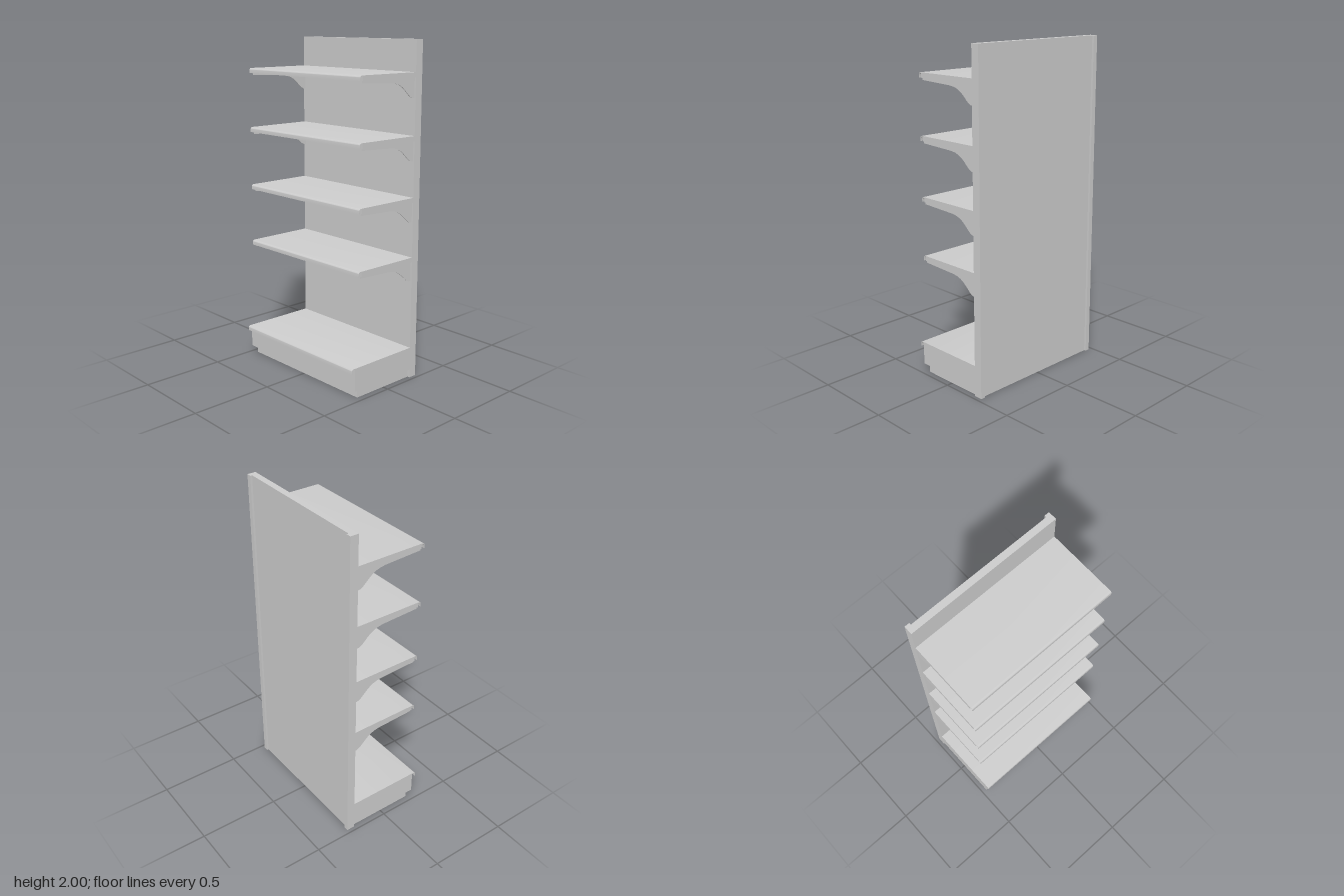
import * as THREE from 'three';
import { toCreasedNormals } from 'three/addons/utils/BufferGeometryUtils.js';

const HALF = 0.475;   // half width of the unit
const BACK = -0.215;  // front face of the back panel
const T = 0.004;      // sheet metal thickness
const mat = new THREE.MeshStandardMaterial({ color: 0xcccccc });

function add(parent, name, geometry) {
  const mesh = new THREE.Mesh(geometry, mat);
  mesh.name = name;
  parent.add(mesh);
  return mesh;
}

// Box given by its minimum and maximum corners
function box(parent, name, [x0, y0, z0], [x1, y1, z1]) {
  const g = new THREE.BoxGeometry(x1 - x0, y1 - y0, z1 - z0);
  g.translate((x0 + x1) / 2, (y0 + y1) / 2, (z0 + z1) / 2);
  return add(parent, name, g);
}

// Side profile (z, y) extruded across x, centred on the given x
function acrossX(shape, width, x = 0) {
  const g = new THREE.ExtrudeGeometry(shape, { depth: width, bevelEnabled: false, curveSegments: 8 });
  g.translate(0, 0, -width / 2);
  g.rotateY(-Math.PI / 2);
  g.translate(x, 0, 0);
  return toCreasedNormals(g, 0.6);
}

// Thin deck whose front edge rolls over into a hanging lip; top at y = 0
function deckShape(front) {
  const s = new THREE.Shape();
  s.moveTo(BACK, 0);
  s.lineTo(front - 0.016, 0);
  s.quadraticCurveTo(front, 0, front, -0.014);
  s.lineTo(front, -0.03);
  s.lineTo(front - T, -0.03);
  s.lineTo(front - T, -0.014);
  s.quadraticCurveTo(front - T, -T, front - 0.016, -T);
  s.lineTo(BACK, -T);
  s.closePath();
  return s;
}

// Cantilever bracket with a swept lower edge
function bracketShape() {
  const s = new THREE.Shape();
  s.moveTo(BACK, -T);
  s.lineTo(BACK, -0.145);
  s.lineTo(-0.195, -0.143);
  s.bezierCurveTo(-0.15, -0.125, -0.13, -0.058, -0.03, -0.053);
  s.lineTo(0.2, -0.043);
  s.lineTo(0.2, -T);
  s.closePath();
  return s;
}

function makeShelf(y) {
  const shelf = new THREE.Group();
  shelf.name = 'shelf';
  add(shelf, 'shelfDeck', acrossX(deckShape(0.22), 2 * HALF));
  box(shelf, 'shelfFrontSkirt', [-HALF, -0.03, 0.2 - T], [HALF, -T, 0.2]);
  for (const side of [-1, 1]) {
    const skirt = box(shelf, 'shelfSideSkirt', [-T / 2, -0.03, BACK], [T / 2, -T, 0.2]);
    skirt.position.x = side * (HALF - T / 2);
    add(shelf, 'shelfBracket', acrossX(bracketShape(), 0.005, side * 0.464));
  }
  shelf.position.y = y;
  return shelf;
}

// Three-sided wall of sheet metal, open at the back
function skirt(parent, name, half, y0, y1, front) {
  box(parent, name + 'Front', [-half, y0, front - T], [half, y1, front]);
  for (const side of [-1, 1]) {
    const wall = box(parent, name + 'Side', [-T / 2, y0, BACK], [T / 2, y1, front - T]);
    wall.position.x = side * (half - T / 2);
  }
}

function makeBase() {
  const base = new THREE.Group();
  base.name = 'base';
  const deck = add(base, 'baseDeck', acrossX(deckShape(0.267), 2 * HALF));
  deck.position.y = 0.19;
  skirt(base, 'baseSkirt', HALF, 0.052, 0.186, 0.242);
  skirt(base, 'kickPlate', 0.46, 0, 0.052, 0.21);
  // Return flange joining the skirt to the inset kick plate
  box(base, 'baseFlangeFront', [-HALF, 0.05, 0.206], [HALF, 0.054, 0.242]);
  for (const side of [-1, 1]) {
    const flange = box(base, 'baseFlangeSide', [-0.01, 0.05, BACK], [0.01, 0.054, 0.206]);
    flange.position.x = side * (HALF - 0.01);
  }
  return base;
}

export function createModel() {
  const model = new THREE.Group();
  model.name = 'storeShelving';

  // Back wall: panel between two uprights that project to the rear
  box(model, 'backPanel', [-0.445, 0, -0.255], [0.445, 2, BACK]);
  for (const side of [-1, 1]) {
    const upright = box(model, 'upright', [-0.015, 0, -0.267], [0.015, 2, BACK]);
    upright.position.x = side * 0.46;
  }

  model.add(makeBase());
  for (const y of [0.75, 1.106, 1.463, 1.82]) model.add(makeShelf(y));
  return model;
}
